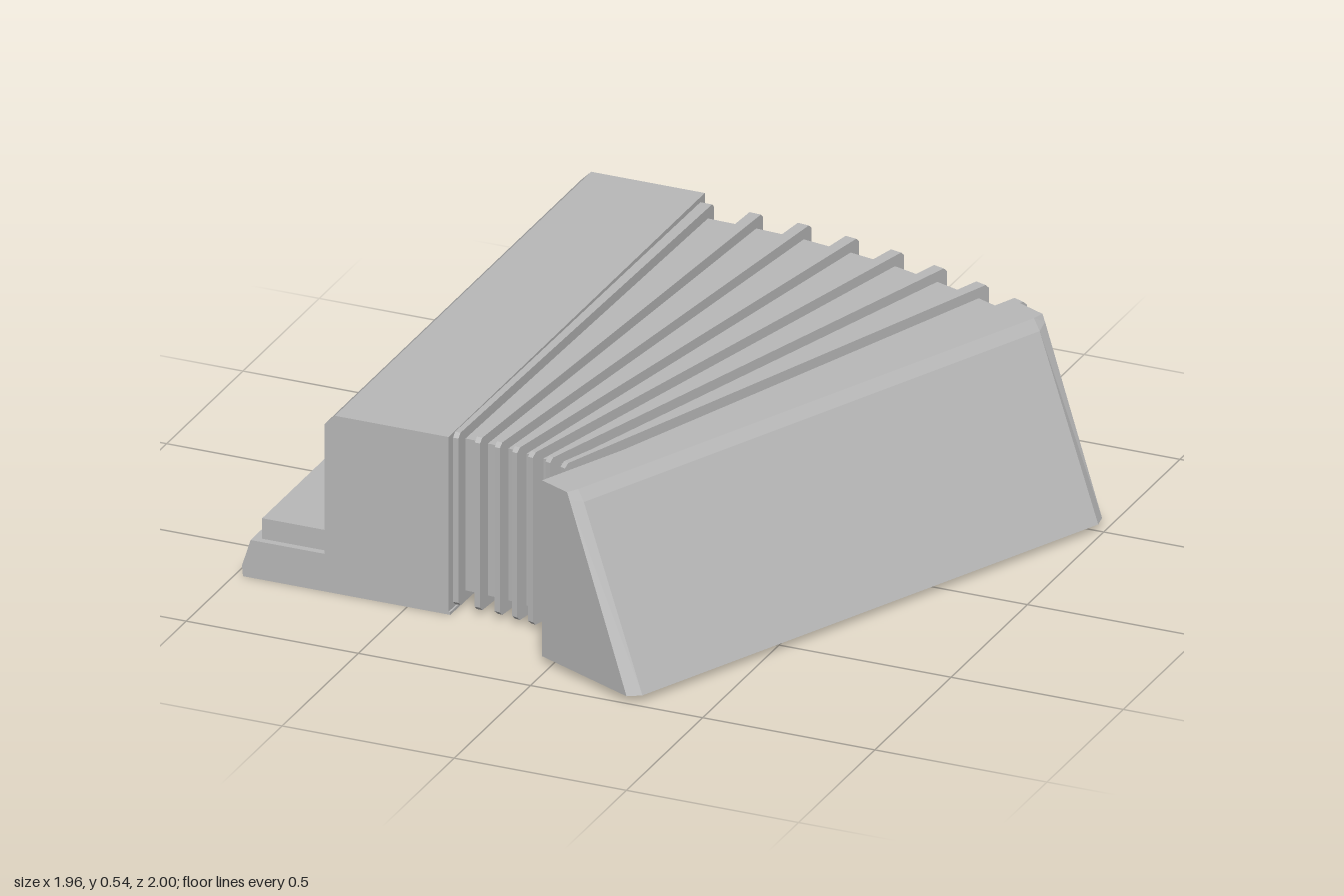
import * as THREE from 'three';

const grey = new THREE.MeshStandardMaterial({ color: 0xb8b8b8 });

// Flat-faced solid through a row of convex cross-sections with equal point counts
function loft(name, rings) {
  const tris = [];
  const n = rings[0].length;
  for (let r = 0; r < rings.length - 1; r++) {
    for (let i = 0; i < n; i++) {
      const j = (i + 1) % n;
      const [a, b, c, d] = [rings[r][i], rings[r][j], rings[r + 1][j], rings[r + 1][i]];
      tris.push([a, b, c], [a, c, d]);
    }
  }
  const last = rings[rings.length - 1];
  for (let i = 1; i < n - 1; i++) {
    tris.push([rings[0][0], rings[0][i + 1], rings[0][i]], [last[0], last[i], last[i + 1]]);
  }
  // Turn all faces outward using the signed volume
  const v = (p) => new THREE.Vector3(...p);
  const volume = tris.reduce((s, [a, b, c]) => s + v(a).dot(v(b).cross(v(c))), 0);
  const ordered = volume < 0 ? tris.map(([a, b, c]) => [a, c, b]) : tris;
  const geometry = new THREE.BufferGeometry();
  geometry.setAttribute('position', new THREE.Float32BufferAttribute(ordered.flat(2), 3));
  geometry.computeVertexNormals();
  const mesh = new THREE.Mesh(geometry, grey);
  mesh.name = name;
  return mesh;
}

// Straight prism along z from an x-y profile
const prism = (name, profile, z0, z1) =>
  loft(name, [z0, z1].map((z) => profile.map(([x, y]) => [x, y, z])));

// Centre lines of the bellows ribs: [back x, back z, front x, front z]
const ribs = [
  [-0.35, -0.955, -0.37, 0.655], [-0.205, -0.95, -0.305, 0.66],
  [-0.06, -0.94, -0.245, 0.665], [0.09, -0.915, -0.19, 0.675],
  [0.235, -0.885, -0.14, 0.685], [0.38, -0.84, -0.085, 0.695],
  [0.525, -0.79, -0.035, 0.71], [0.66, -0.735, 0.015, 0.73],
];

// Upright section across a rib line at fraction t of its length
function ribSection([bx, bz, fx, fz], t, y0, y1) {
  const length = Math.hypot(fx - bx, fz - bz);
  const half = THREE.MathUtils.lerp(0.017, 0.008, t);
  const nx = ((fz - bz) / length) * half;
  const nz = (-(fx - bx) / length) * half;
  const x = THREE.MathUtils.lerp(bx, fx, t);
  const z = THREE.MathUtils.lerp(bz, fz, t);
  return [[x - nx, y0, z - nz], [x + nx, y0, z + nz], [x + nx, y1, z + nz], [x - nx, y1, z - nz]];
}

export function createModel() {
  const model = new THREE.Group();
  model.name = 'accordion';

  // Keyboard-side body with a bevelled upper edge
  model.add(prism('trebleBody',
    [[-0.74, 0], [-0.38, 0], [-0.38, 0.52], [-0.71, 0.52], [-0.74, 0.49]], -1, 0.68));

  // Thin base plate under the body, slightly skewed
  model.add(loft('basePlate', [[-1, -0.352], [0.68, -0.375]].map(([z, x]) =>
    [[-0.72, 0, z], [x, 0, z], [x, 0.008, z], [-0.72, 0.008, z]])));

  // Keyboard ledge with a sloping outer face
  model.add(loft('keyboardLedge', [[-1, 0], [0.68, 0.022]].map(([z, d]) =>
    [[-0.955 - d, 0, z], [-0.71, 0, z], [-0.71, 0.11, z],
      [-0.955, 0.11, z], [-0.958 - d, 0.03, z]])));
  model.add(prism('keyboard', [[-0.93, 0.1], [-0.72, 0.1], [-0.72, 0.17], [-0.93, 0.17]], -0.98, 0.66));

  // Bellows: recessed fan-shaped core and raised ribs with trimmed corners
  const bellows = new THREE.Group();
  bellows.name = 'bellows';
  const coreLines = [[-0.39, -0.955, -0.39, 0.655], ...ribs, [0.70, -0.72, 0.03, 0.735]];
  bellows.add(loft('bellowsCore', coreLines.map(([bx, bz, fx, fz]) => {
    const at = (t, y) => [bx + (fx - bx) * t, y, bz + (fz - bz) * t];
    return [at(0.024, 0.045), at(0.972, 0.045), at(0.972, 0.49), at(0.024, 0.49)];
  })));
  for (const line of ribs) {
    bellows.add(loft('bellowsRib', [[0, 0.012], [0.008, 0], [0.992, 0], [1, 0.012]].map(([t, inset]) =>
      ribSection(line, t, 0.015 + inset, 0.52 - inset))));
  }
  model.add(bellows);

  // Bass-side body: sloping outer face, bevelled around its edges
  const inner = [0.67, -0.68];
  const along = [-0.414, 0.910];
  const out = [0.910, 0.414];
  const length = 1.69;
  const full = [[0, 0.02], [0.362, 0.02], [0.128, 0.505], [0.105, 0.535], [0, 0.535]];
  const ends = [[0, 0.02], [0.338, 0.02], [0.11, 0.515], [0.1, 0.535], [0, 0.535]];
  model.add(loft('bassBody', [[0, ends], [0.035, full], [length - 0.035, full], [length, ends]].map(
    ([s, profile]) => profile.map(([u, y]) =>
      [inner[0] + along[0] * s + out[0] * u, y, inner[1] + along[1] * s + out[1] * u]))));

  return model;
}
